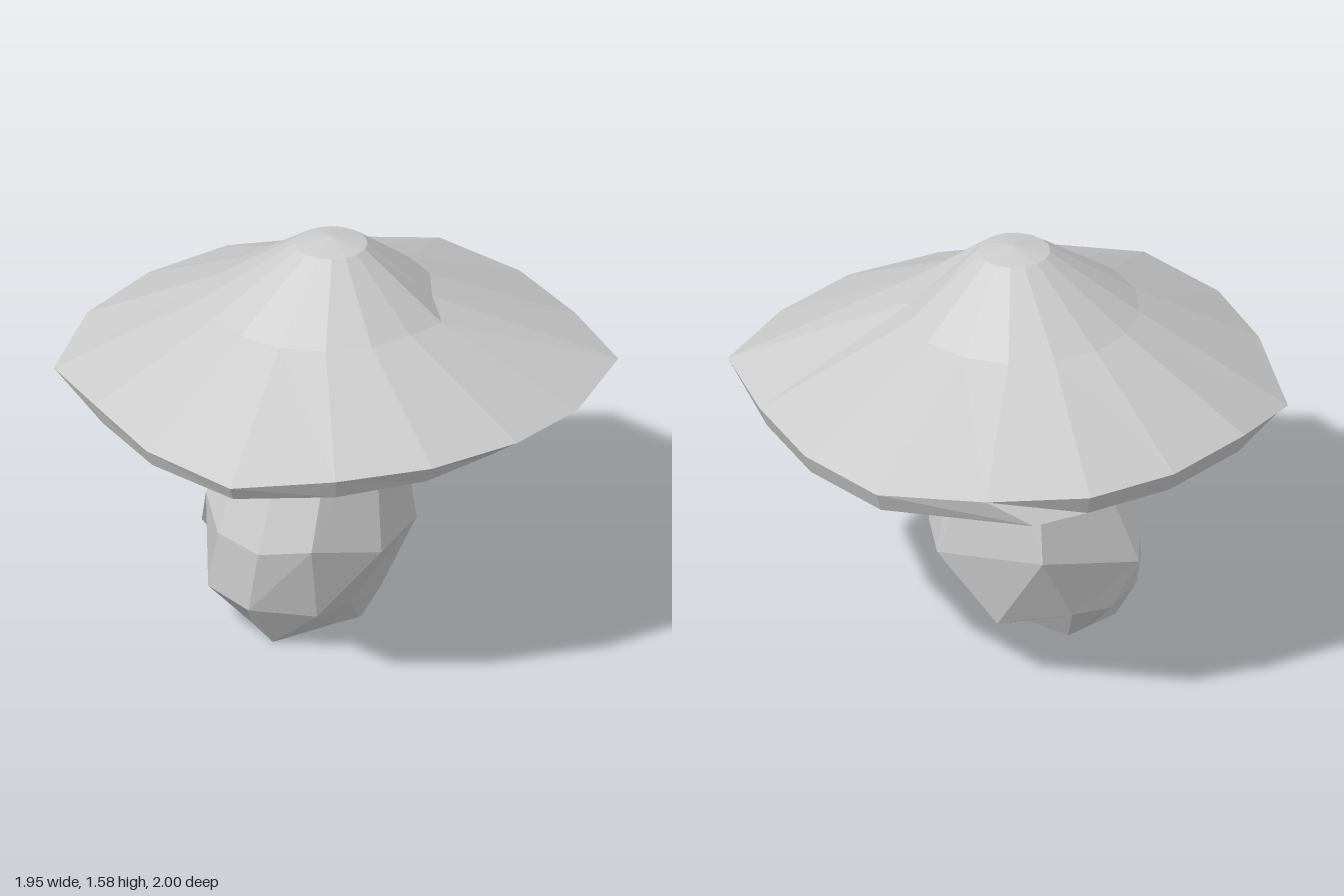
import * as THREE from 'three';

// Skins closed rings of [x, y, z] points, listed bottom to top, into a faceted surface;
// flip chooses the other diagonal for each quad
function loft(name, rings, material, flip = false) {
  const pos = [];
  const tri = (a, b, c) => {
    const [A, B, C] = [a, b, c].map(p => new THREE.Vector3(...p));
    const area = B.clone().sub(A).cross(C.clone().sub(A)).length();
    if (area > 1e-6) pos.push(...a, ...b, ...c);
  };
  for (let r = 0; r < rings.length - 1; r++) {
    const lo = rings[r], hi = rings[r + 1], n = lo.length;
    for (let i = 0; i < n; i++) {
      const j = (i + 1) % n;
      tri(lo[i], hi[i], flip ? hi[j] : lo[j]);
      tri(lo[j], flip ? lo[i] : hi[i], hi[j]);
    }
  }
  const geometry = new THREE.BufferGeometry();
  geometry.setAttribute('position', new THREE.Float32BufferAttribute(pos, 3));
  geometry.computeVertexNormals();
  const mesh = new THREE.Mesh(geometry, material);
  mesh.name = name;
  return mesh;
}

// A ring collapsed to one point, and a round ring (angle runs from +x to +z)
const tip = (n, p) => Array(n).fill(p);
const circle = (n, cx, y, cz, radius) => Array.from({ length: n }, (_, i) => {
  const a = i / n * Math.PI * 2;
  return [cx + Math.cos(a) * radius, y, cz + Math.sin(a) * radius];
});

export function createModel() {
  const group = new THREE.Group();
  group.name = 'mushroom';
  const material = new THREE.MeshStandardMaterial({ color: 0xcccccc, flatShading: true });

  // Bulbous stem on a small four-cornered foot
  const foot = [
    [.13, .01, -.01], [.1, .01, .1], [.03, 0, .34], [-.11, .02, .31], [-.26, .04, .28],
    [-.255, .03, .17], [-.25, .02, .06], [-.06, .015, .02], [.13, .01, -.03],
  ];
  const lowBulge = [
    [.2, .14, .1], [.22, .16, .3], [.03, .18, .47], [-.19, .2, .46], [-.3, .17, .35],
    [-.38, .16, .16], [-.36, .18, -.01], [-.14, .11, -.19], [.16, .12, -.1],
  ];
  const bulge = [
    [.35, .4, .09], [.25, .46, .36], [.08, .43, .47], [-.14, .44, .46], [-.31, .51, .35],
    [-.41, .33, .27], [-.37, .45, -.16], [.08, .36, -.3], [.24, .4, -.21],
  ];
  const neck = circle(9, .02, .99, .03, .235);
  group.add(loft('stem', [
    tip(9, [-.07, .016, .16]), foot, lowBulge, bulge, neck, tip(9, [.02, .99, .03]),
  ], material));

  // Irregular brim of the cap
  const brim = [
    [.97, 1.05, 0], [.89, 1.05, .37], [.71, 1.05, .7], [.44, 1.03, .985],
    [.02, 1.04, 1], [-.36, 1.05, .885], [-.76, .995, .7], [-.91, 1.05, .37],
    [-.975, 1.05, -.02], [-.92, 1.05, -.38], [-.7, 1.05, -.7], [-.4, 1.05, -.98],
    [0, 1.05, -1], [.39, 1.05, -.9], [.76, 1.05, -.75], [.93, 1.04, -.36],
  ];
  // Underside edge sits just inside the brim, cutting the corner at the back left
  const under = brim.map(([x, , z]) => [x * .97, .972, z * .97]);
  under[0] = [.87, .98, .06];
  under[1] = [.85, .98, .36];
  under[10] = [-.82, .955, -.57];
  under[14] = [.6, .972, -.66];
  under[15] = [.82, .972, -.46];

  // Shoulder of the cap, with a slight hollow at the back left
  const shoulder = circle(16, 0, 1.325, .035, .447);
  shoulder[13] = [.16, 1.335, -.36];
  shoulder[14] = [.28, 1.325, -.25];
  shoulder[15] = [.44, 1.31, -.14];
  const crown = circle(16, .025, 1.555, .025, .135);

  group.add(loft('cap', [
    tip(16, [0, .98, 0]), under, brim, shoulder, crown, tip(16, [.02, 1.58, .02]),
  ], material, true));
  return group;
}
